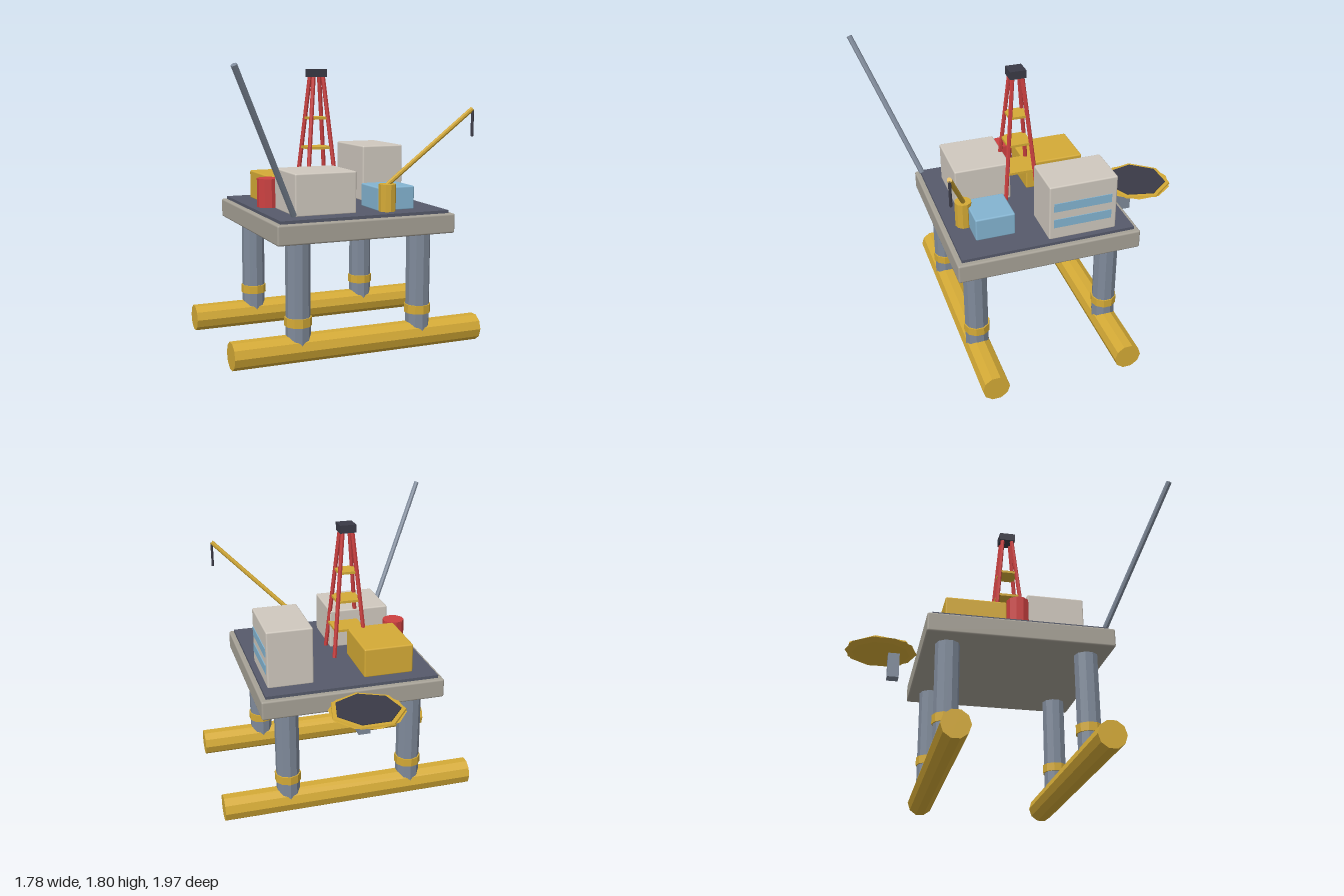
import * as THREE from 'three';
import { RoundedBoxGeometry } from 'three/addons/geometries/RoundedBoxGeometry.js';

const paint = (name, color) => {
  const m = new THREE.MeshStandardMaterial({ color });
  m.name = name;
  return m;
};

export function createModel() {
  const yellow = paint('safety yellow', 0xd4aa36);
  const cabin = paint('cabin grey', 0xcfc8be);
  const concrete = paint('deck edge grey', 0xa6a196);
  const slate = paint('deck slate', 0x565a6b);
  const steel = paint('steel', 0x7f8a9a);
  const blue = paint('pale blue', 0x84b4d1);
  const red = paint('red', 0xcc4040);
  const dark = paint('charcoal', 0x3a3a46);

  const model = new THREE.Group();
  model.name = 'offshorePlatform';

  const add = (name, geometry, material, x = 0, y = 0, z = 0) => {
    const mesh = new THREE.Mesh(geometry, material);
    mesh.name = name;
    mesh.position.set(x, y, z);
    model.add(mesh);
    return mesh;
  };

  // Faceted cylinder with hard sides
  const prism = (rTop, rBottom, h, sides) => {
    const g = new THREE.CylinderGeometry(rTop, rBottom, h, sides).toNonIndexed();
    g.computeVertexNormals();
    return g;
  };

  // Box given by its limits on each axis, with softened edges if r > 0
  const block = (name, material, [x0, x1], [y0, y1], [z0, z1], r = 0) => {
    const s = [x1 - x0, y1 - y0, z1 - z0];
    const g = r ? new RoundedBoxGeometry(...s, 2, r) : new THREE.BoxGeometry(...s);
    return add(name, g, material, (x0 + x1) / 2, (y0 + y1) / 2, (z0 + z1) / 2);
  };

  // Straight rod between two points
  const rod = (name, material, a, b, r, sides) => {
    const from = new THREE.Vector3(...a), to = new THREE.Vector3(...b);
    const dir = to.clone().sub(from);
    const mesh = add(name, prism(r, r, dir.length(), sides), material);
    mesh.position.copy(from).add(to).multiplyScalar(0.5);
    mesh.quaternion.setFromUnitVectors(new THREE.Vector3(0, 1, 0), dir.normalize());
    return mesh;
  };

  // Pontoons, columns and collars
  for (const z of [0.517, -0.368]) {
    add('pontoon', prism(0.0875, 0.0875, 1.67, 10), yellow, 0.052, 0.083, z).rotation.z = Math.PI / 2;
    for (const x of [-0.357, 0.461]) {
      add('column', prism(0.077, 0.077, 0.68, 10), steel, x, 0.43, z);
      add('columnCollar', prism(0.085, 0.085, 0.055, 10), yellow, x, 0.255, z);
    }
  }

  // Main deck
  block('deck', concrete, [-0.536, 0.642], [0.752, 0.876], [-0.518, 0.662], 0.012);
  block('deckPlate', slate, [-0.505, 0.61], [0.87, 0.895], [-0.485, 0.63]);

  // Deck modules
  block('frontCabin', cabin, [-0.37, 0.032], [0.89, 1.153], [0.14, 0.512], 0.01);
  block('machineryHouse', yellow, [-0.368, -0.045], [0.89, 1.083], [-0.388, 0.006], 0.01);
  block('livingQuarters', cabin, [0.28, 0.573], [0.89, 1.263], [-0.374, 0.067], 0.01);
  block('blueContainer', blue, [0.187, 0.441], [0.89, 1.041], [0.24, 0.494], 0.01);
  add('storageTank', prism(0.072, 0.072, 0.19, 10), red, -0.391, 0.985, 0.07);
  for (const y of [1.004, 1.117]) {
    block('windowStrip', blue, [0.57, 0.578], [y - 0.029, y + 0.029], [-0.338, 0.038]);
  }

  // Derrick with tapering legs, square platforms and a crown block
  const dx = -0.057, dz = 0.07;
  const spread = y => 0.11 - 0.078 * (y - 0.895) / 0.83;
  for (const sx of [-1, 1]) for (const sz of [-1, 1]) {
    const foot = spread(0.895), head = spread(1.725);
    rod('derrickLeg', red, [dx + sx * foot, 0.895, dz + sz * foot],
      [dx + sx * head, 1.725, dz + sz * head], 0.014, 6);
  }
  for (const y of [1.075, 1.267, 1.457]) {
    const w = 2 * spread(y) + 0.012;
    add('derrickPlatform', new THREE.BoxGeometry(w, 0.016, w), yellow, dx, y, dz);
  }
  add('crownBlock', new THREE.BoxGeometry(0.106, 0.052, 0.106), dark, dx, 1.745, dz);

  // Crane
  add('cranePedestal', prism(0.054, 0.054, 0.17, 10), yellow, 0.238, 0.98, 0.517);
  rod('craneJib', yellow, [0.238, 1.06, 0.515], [0.722, 1.53, 0.703], 0.015, 8);
  rod('craneCable', dark, [0.722, 1.525, 0.703], [0.722, 1.36, 0.703], 0.009, 6);

  // Flare boom
  rod('flareBoom', steel, [-0.425, 0.925, 0.632], [-0.873, 1.79, 0.966], 0.018, 8);

  // Helipad with a shallow dish, raised rim and landing surface
  const hx = 0.053, hz = -0.752;
  add('helipadDish', prism(0.235, 0.19, 0.016, 10), yellow, hx, 0.847, hz);
  add('helipadRim', prism(0.232, 0.235, 0.011, 7), yellow, hx, 0.86, hz);
  add('helipadSurface', prism(0.204, 0.204, 0.006, 7), dark, hx, 0.868, hz);
  block('helipadSupport', steel, [0.015, 0.09], [0.672, 0.842], [-0.705, -0.63]);

  return model;
}
